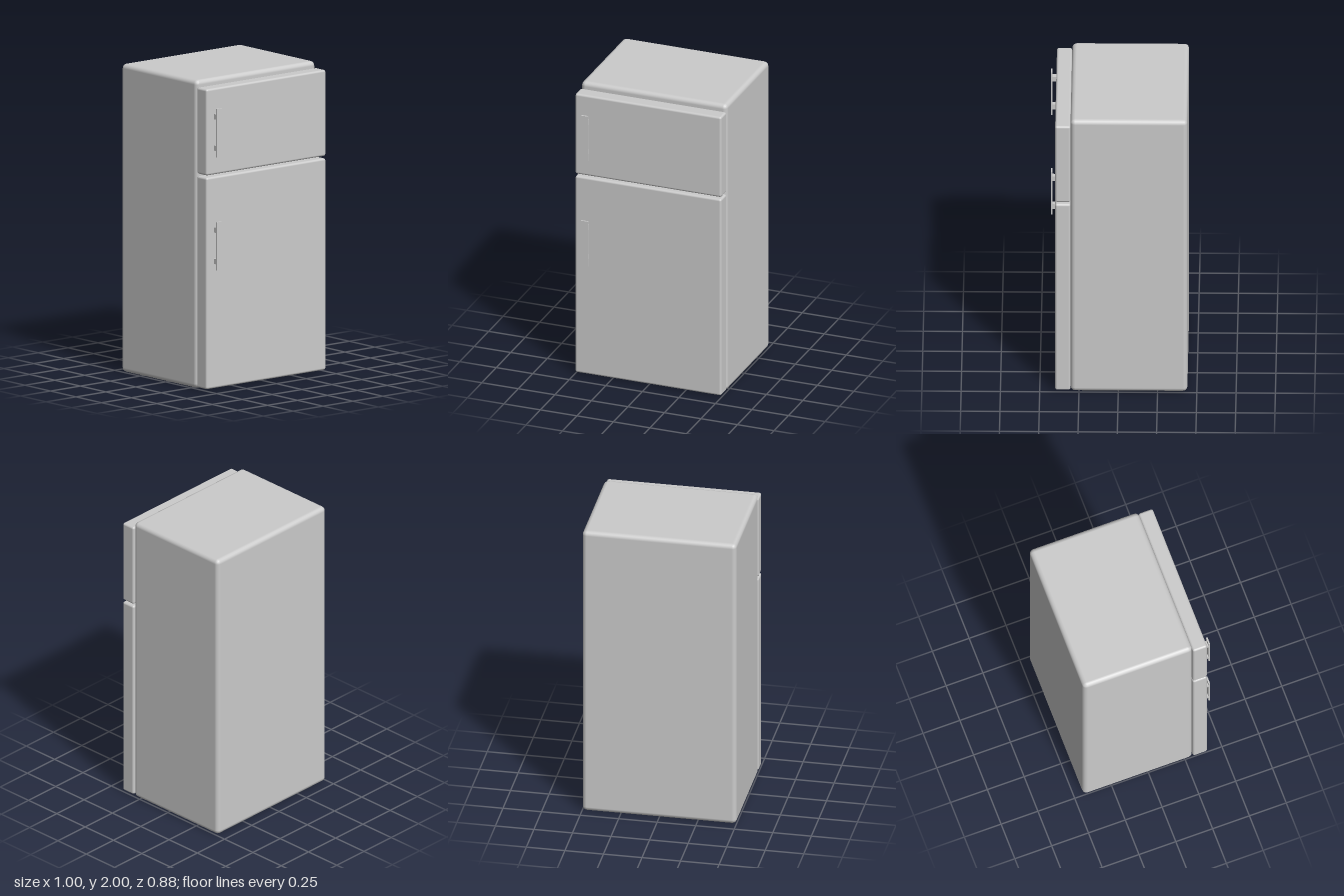
import * as THREE from 'three';
import { RoundedBoxGeometry } from 'three/addons/geometries/RoundedBoxGeometry.js';

const material = new THREE.MeshStandardMaterial({ color: 0xcccccc });

// Box given by its min and max corners, with an optional rounded edge
function block(name, min, max, radius = 0) {
  const size = max.map((v, i) => v - min[i]);
  const geometry = radius
    ? new RoundedBoxGeometry(...size, 2, radius)
    : new THREE.BoxGeometry(...size);
  const mesh = new THREE.Mesh(geometry, material);
  mesh.name = name;
  mesh.position.set(...max.map((v, i) => (v + min[i]) / 2));
  return mesh;
}

// Flat grip plate held off the door by two short posts
function handle(name, centerY) {
  const group = new THREE.Group();
  group.name = name;
  group.add(block('grip', [-0.445, centerY - 0.157, 0.43], [-0.397, centerY + 0.157, 0.44]));
  for (const side of [-1, 1]) {
    const y = centerY + side * 0.102;
    group.add(block('post', [-0.44, y - 0.017, 0.395], [-0.404, y + 0.017, 0.432]));
  }
  return group;
}

export function createModel() {
  const fridge = new THREE.Group();
  fridge.name = 'refrigerator';

  // Cabinet
  fridge.add(block('cabinet', [-0.5, 0, -0.44], [0.5, 2, 0.304], 0.03));

  // Freezer door above, main door below
  fridge.add(block('freezerDoor', [-0.5, 1.397, 0.304], [0.5, 1.957, 0.402], 0.014));
  fridge.add(block('mainDoor', [-0.5, 0.01, 0.304], [0.5, 1.383, 0.402], 0.014));

  // Handles
  fridge.add(handle('freezerHandle', 1.673));
  fridge.add(handle('mainHandle', 0.938));

  return fridge;
}
